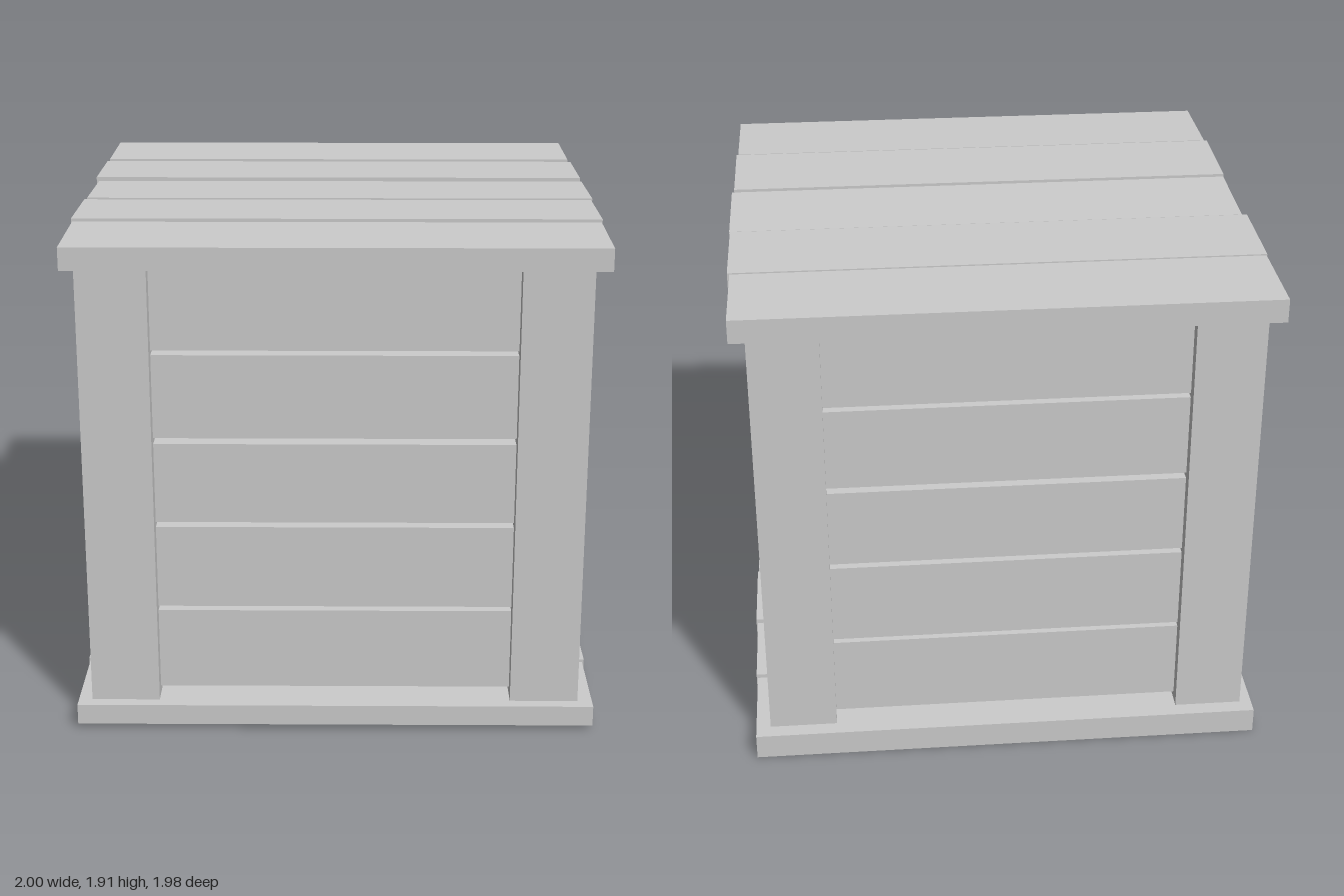
import * as THREE from 'three';

const material = new THREE.MeshStandardMaterial({ color: 0xcccccc, flatShading: true });

// Box given by its min and max corners
function block(name, [x0, y0, z0], [x1, y1, z1]) {
  const geometry = new THREE.BoxGeometry(x1 - x0, y1 - y0, z1 - z0);
  geometry.translate((x0 + x1) / 2, (y0 + y1) / 2, (z0 + z1) / 2);
  const mesh = new THREE.Mesh(geometry, material);
  mesh.name = name;
  return mesh;
}

// Plank along x whose outer face is slightly skewed: yFront at max z, yBack at min z
function plank(name, [x0, x1], [zBack, zFront], inner, [yBack, yFront]) {
  const outer = (yBack + yFront) / 2;
  const mesh = block(name, [x0, Math.min(inner, outer), zBack], [x1, Math.max(inner, outer), zFront]);
  const p = mesh.geometry.attributes.position;
  const middle = (inner + outer) / 2;
  for (let i = 0; i < p.count; i++) {
    const isOuter = (p.getY(i) > middle) === (outer > inner);
    if (isOuter) p.setY(i, p.getZ(i) > (zBack + zFront) / 2 ? yFront : yBack);
  }
  mesh.geometry.computeVertexNormals();
  return mesh;
}

export function createModel() {
  const crate = new THREE.Group();
  crate.name = 'woodenCrate';

  // Lid and base planks, back to front
  const rows = [[-0.99, -0.605], [-0.583, -0.215], [-0.19, 0.185], [0.213, 0.58], [0.603, 0.988]];
  const spans = [[-0.992, 0.986], [-1, 0.996], [-0.986, 1], [-0.993, 0.992], [-0.986, 0.986]];
  const lidTops = [[1.905, 1.905], [1.9, 1.905], [1.895, 1.905], [1.905, 1.912], [1.905, 1.9]];
  const baseBottoms = [[0, 0.01], [0.03, 0.015], [0.006, 0.004], [0.015, 0.005], [0.012, 0.02]];
  const lid = new THREE.Group();
  lid.name = 'lid';
  const base = new THREE.Group();
  base.name = 'base';
  rows.forEach((row, i) => {
    lid.add(plank('lidPlank', spans[i], row, 1.815, lidTops[i]));
    base.add(plank('basePlank', spans[rows.length - 1 - i], row, 0.1, baseBottoms[i]));
  });
  crate.add(lid, base);

  // Corner posts
  const postX = [[-0.94, -0.68], [0.67, 0.93]];
  const postZ = [[-0.93, -0.675], [0.68, 0.94]];
  for (const [x0, x1] of postX) {
    for (const [z0, z1] of postZ) {
      crate.add(block('cornerPost', [x0, 0.1, z0], [x1, 1.815, z1]));
    }
  }

  // Wall slats as [bottom, top], set back from the post faces
  const frontBack = [[0.13, 0.45], [0.468, 0.793], [0.813, 1.125], [1.148, 1.47], [1.488, 1.815]];
  const sides = [[0.13, 0.452], [0.471, 0.787], [0.81, 1.133], [1.156, 1.473], [1.489, 1.815]];
  const inner = 0.768, outer = 0.88, reach = 0.72;
  for (const sign of [-1, 1]) {
    const a = Math.min(sign * inner, sign * outer);
    const b = Math.max(sign * inner, sign * outer);
    for (const [y0, y1] of frontBack) {
      crate.add(block(sign > 0 ? 'frontSlat' : 'backSlat', [-reach, y0, a], [reach, y1, b]));
    }
    for (const [y0, y1] of sides) {
      crate.add(block(sign > 0 ? 'leftSlat' : 'rightSlat', [a, y0, -reach], [b, y1, reach]));
    }
  }
  return crate;
}
